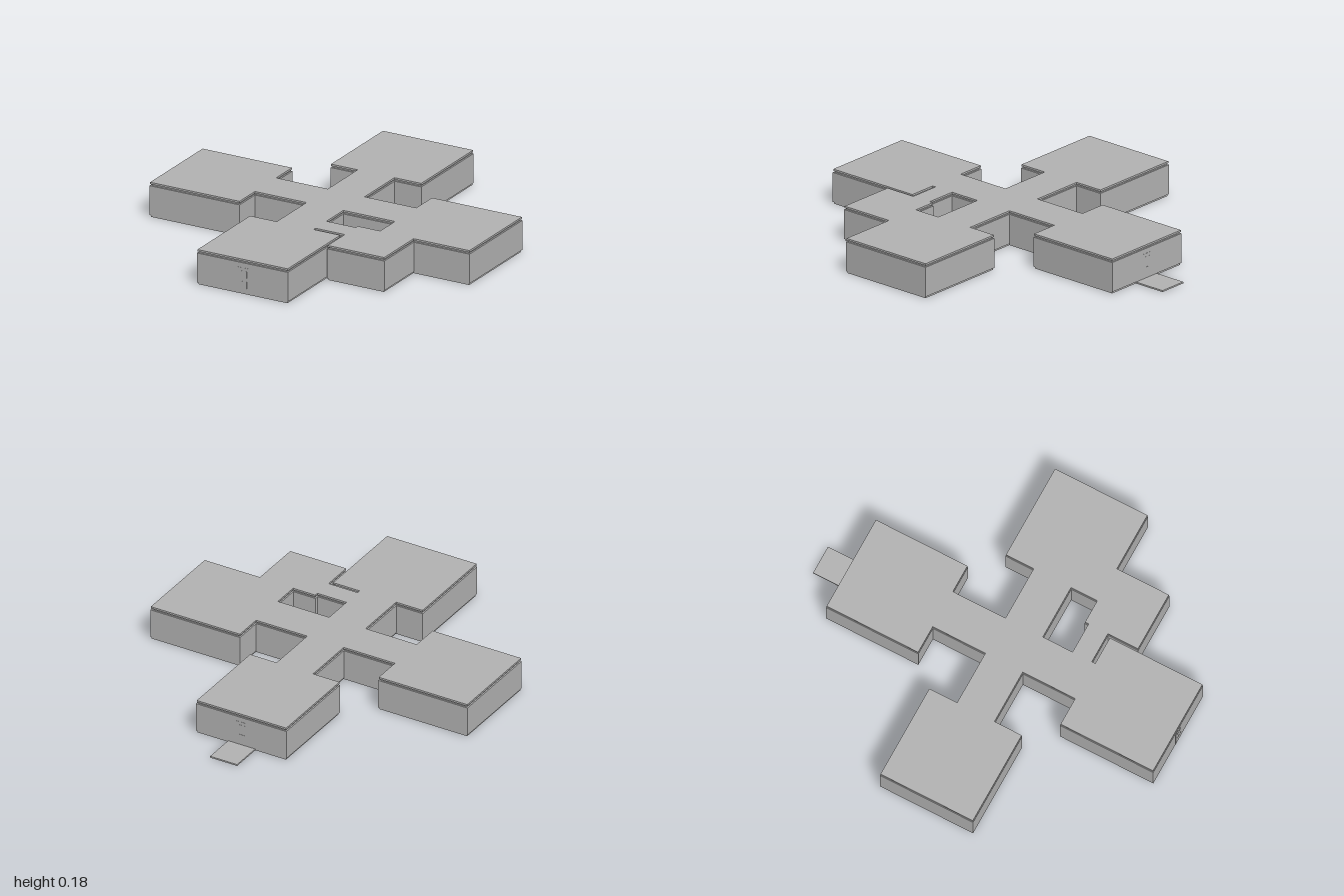
import * as THREE from 'three';

// Floor plan as [x, z] corners
const OUTLINE = [
  [-0.26, -0.83], [0.257, -0.83], [0.257, -0.315], [0.105, -0.315], [0.105, -0.025], [0.395, -0.025],
  [0.395, -0.18], [0.91, -0.18], [0.91, 0.34], [0.593, 0.34], [0.593, 0.63], [0.268, 0.63],
  [0.268, 0.462], [0.105, 0.462], [0.105, 0.477], [0.257, 0.477], [0.257, 0.998], [-0.26, 0.998],
  [-0.26, 0.477], [-0.108, 0.477], [-0.108, 0.188], [-0.398, 0.188], [-0.398, 0.34], [-0.91, 0.34],
  [-0.91, -0.18], [-0.398, -0.18], [-0.398, -0.025], [-0.108, -0.025], [-0.108, -0.315], [-0.26, -0.315],
];
const COURTYARD = [
  [0.105, 0.188], [0.395, 0.188], [0.395, 0.33], [0.268, 0.33], [0.268, 0.35], [0.105, 0.35],
];

// Move every edge of a right-angled plan inward by d
function inset(points, d) {
  const n = points.length;
  const normal = (a, b) => [-Math.sign(b[1] - a[1]), Math.sign(b[0] - a[0])];
  return points.map((p, i) => {
    const n1 = normal(points[(i + n - 1) % n], p);
    const n2 = normal(p, points[(i + 1) % n]);
    return new THREE.Vector2(p[0] + d * (n1[0] + n2[0]), p[1] + d * (n1[1] + n2[1]));
  });
}

export function createModel() {
  const model = new THREE.Group();
  model.name = 'building';
  const grey = new THREE.MeshStandardMaterial({ color: 0xb2b2b2 });
  grey.name = 'plain grey';

  // One storey layer following the plan
  function layer(name, bottom, top, d) {
    const shape = new THREE.Shape(inset(OUTLINE, d));
    shape.holes.push(new THREE.Path(inset(COURTYARD, -d)));
    const geometry = new THREE.ExtrudeGeometry(shape, { depth: top - bottom, bevelEnabled: false });
    geometry.rotateX(Math.PI / 2).translate(0, top, 0);
    const mesh = new THREE.Mesh(geometry, grey);
    mesh.name = name;
    model.add(mesh);
  }
  layer('floorSlab', 0, 0.01, 0.005);
  layer('walls', 0.01, 0.166, 0);
  layer('roofGap', 0.166, 0.174, 0.008);
  layer('roof', 0.174, 0.184, 0.002);

  function box(parent, name, w, h, d, x, y, z) {
    const mesh = new THREE.Mesh(new THREE.BoxGeometry(w, h, d), grey);
    mesh.name = name;
    mesh.position.set(x, y, z);
    parent.add(mesh);
  }

  // Entrance plate behind the back room
  box(model, 'entranceRamp', 0.155, 0.008, 0.18, -0.002, 0.004, -0.91);

  // Doors on the front and back rooms, each with two raised panels
  function door(name, z, turn) {
    const group = new THREE.Group();
    group.name = name;
    box(group, 'doorLeaf', 0.06, 0.128, 0.001, 0, 0.076, 0);
    for (const y of [0.05, 0.105]) box(group, 'doorPanel', 0.038, 0.036, 0.002, 0.005, y, 0.0005);
    box(group, 'doorEdge', 0.004, 0.12, 0.002, -0.027, 0.076, 0.0005);
    group.position.z = z;
    group.rotation.y = turn;
    model.add(group);
  }
  door('frontDoor', 0.9983, 0);
  door('backDoor', -0.8303, Math.PI);

  return model;
}
